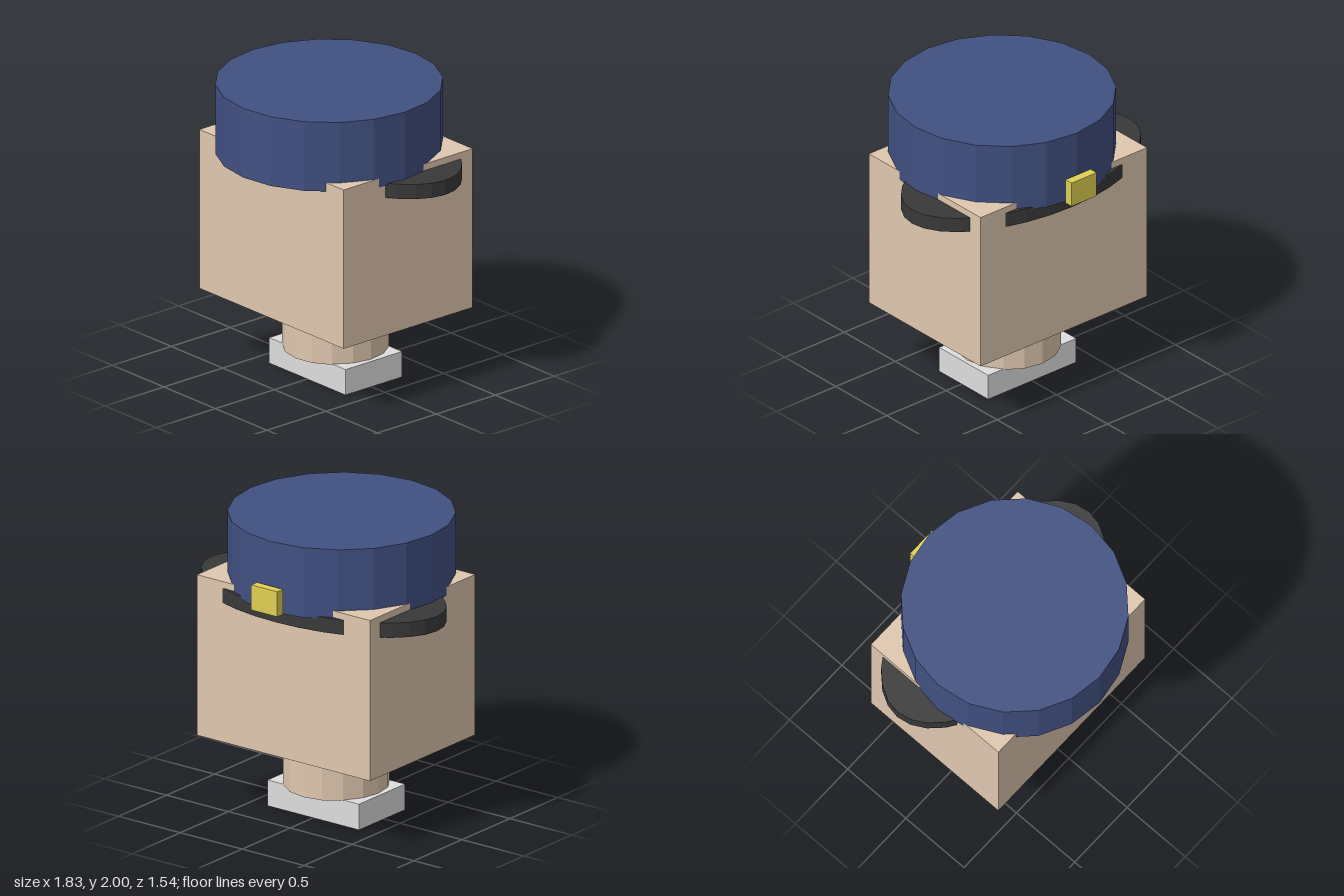
import * as THREE from 'three';

const paint = (name, color) => {
  const m = new THREE.MeshStandardMaterial({ color });
  m.name = name;
  return m;
};

export function createModel() {
  const group = new THREE.Group();
  const skin = paint('skin', 0xdfc7af);
  const navy = paint('navy', 0x415082);
  const charcoal = paint('charcoal', 0x393939);
  const gold = paint('gold', 0xe0d054);
  const grey = paint('lightGrey', 0xdedede);

  const add = (name, geometry, material, y, z) => {
    const mesh = new THREE.Mesh(geometry, material);
    mesh.name = name;
    mesh.position.set(0, y, z);
    group.add(mesh);
  };
  const box = (name, material, w, d, y0, y1, z) =>
    add(name, new THREE.BoxGeometry(w, y1 - y0, d), material, (y0 + y1) / 2, z);

  // Faceted upright drum, elliptical when rx and rz differ
  const drum = (name, material, rx, rz, sides, y0, y1, z) => {
    const indexed = new THREE.CylinderGeometry(1, 1, y1 - y0, sides).scale(rx, 1, rz);
    const faceted = indexed.toNonIndexed();
    faceted.computeVertexNormals();
    add(name, faceted, material, (y0 + y1) / 2, z);
  };

  // Collar and neck
  box('collar', grey, 0.74, 0.48, 0, 0.175, -0.02);
  drum('neck', skin, 0.342, 0.342, 16, 0.17, 0.465, -0.02);

  // Head
  box('head', skin, 1.4, 1.095, 0.495, 1.585, -0.023);

  // Cap crown, oval brim and badge
  drum('capCrown', navy, 0.73, 0.73, 20, 1.525, 2, 0.035);
  drum('capBrim', charcoal, 0.915, 0.5, 32, 1.44, 1.54, -0.15);
  box('capBadge', gold, 0.21, 0.06, 1.535, 1.705, -0.74);

  return group;
}
